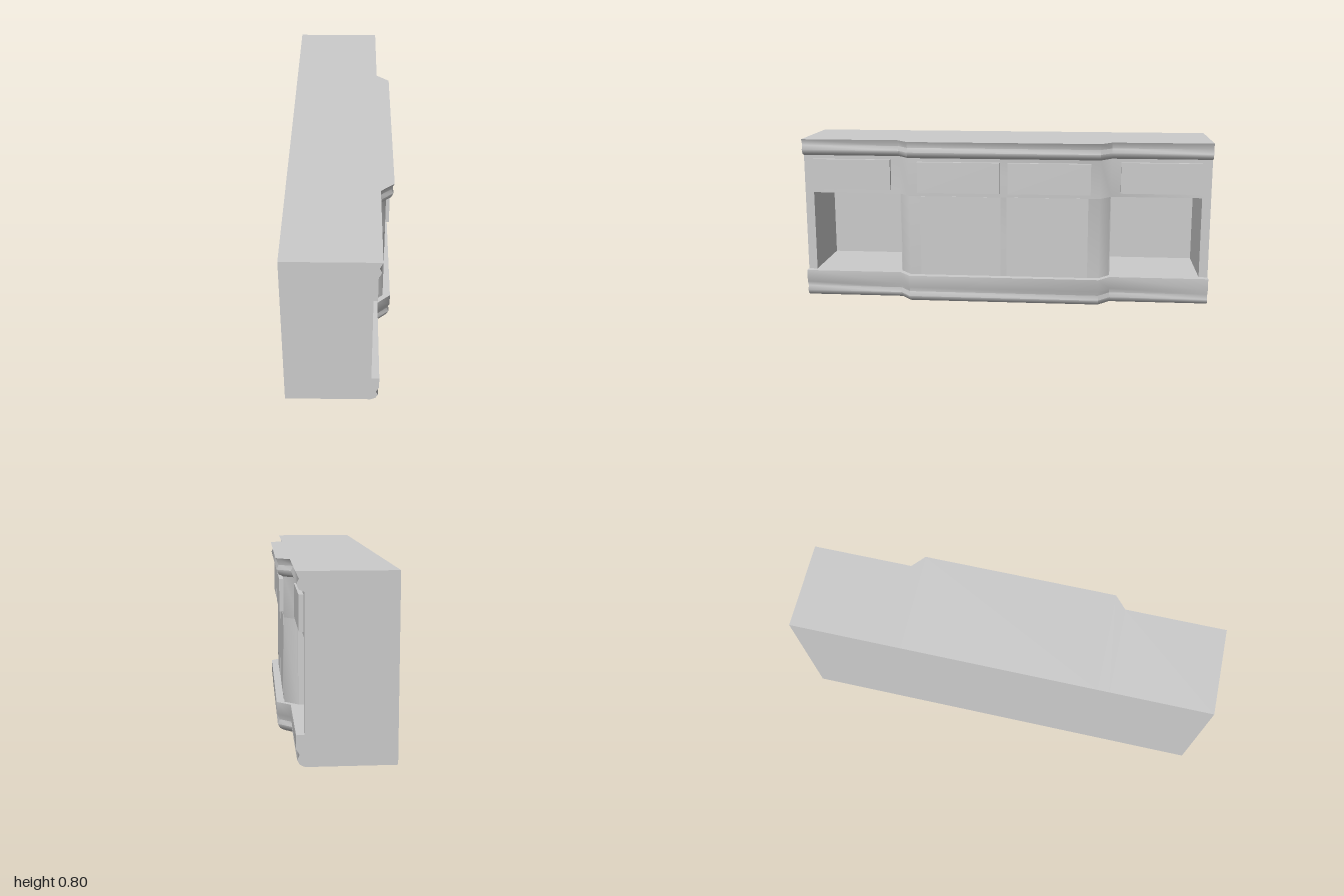
import * as THREE from 'three';
import { toCreasedNormals } from 'three/addons/utils/BufferGeometryUtils.js';

const material = new THREE.MeshStandardMaterial({ color: 0xcccccc });
const STEP = 0.062; // how far the centre bay stands forward of the wings
const BACK = -0.24;

export function createModel() {
  const group = new THREE.Group();
  group.name = 'sideboard';

  const add = (name, geometry) => {
    const mesh = new THREE.Mesh(geometry, material);
    mesh.name = name;
    group.add(mesh);
  };
  // Box given by its extents
  const box = (name, x0, x1, y0, y1, z0, z1) => {
    const g = new THREE.BoxGeometry(x1 - x0, y1 - y0, z1 - z0);
    g.translate((x0 + x1) / 2, (y0 + y1) / 2, (z0 + z1) / 2);
    add(name, g);
  };
  // Half plan (x, z) mirrored in z and raised from y0 to y1
  const plan = (name, half, y0, y1) => {
    const mirrored = half.map(([x, z]) => [x, -z]).reverse();
    const shape = new THREE.Shape([...half, ...mirrored].map(([x, z]) => new THREE.Vector2(x, z)));
    const g = new THREE.ExtrudeGeometry(shape, { depth: y1 - y0, bevelEnabled: false });
    g.rotateX(-Math.PI / 2).translate(0, y0, 0);
    add(name, toCreasedNormals(g, 1.0));
  };
  // Counter-clockwise (x, y) profile run along z, stepping back at the wings
  const moulding = (name, front) => {
    const [first, last] = [front[0], front[front.length - 1]];
    const ring = [[BACK, first[1]], ...front, [BACK, last[1]]];
    const stations = [[-1, STEP], [-0.52, STEP], [-0.465, 0], [0.465, 0], [0.52, STEP], [1, STEP]];
    const n = ring.length;
    const positions = [];
    const index = [];
    for (const [z, back] of stations) {
      for (const [x, y] of ring) positions.push(x === BACK ? x : x - back, y, z);
    }
    for (let s = 0; s < stations.length - 1; s++) {
      for (let i = 0; i < n; i++) {
        const a = s * n + i, b = s * n + (i + 1) % n;
        index.push(a, b, b + n, a, b + n, a + n);
      }
    }
    const top = (stations.length - 1) * n;
    const contour = ring.map(([x, y]) => new THREE.Vector2(x, y));
    for (const [a, b, c] of THREE.ShapeUtils.triangulateShape(contour, [])) {
      index.push(top + a, top + b, top + c, c, b, a);
    }
    const g = new THREE.BufferGeometry();
    g.setAttribute('position', new THREE.Float32BufferAttribute(positions, 3));
    g.setIndex(index);
    add(name, toCreasedNormals(g, 1.0));
  };

  // Base and top mouldings
  moulding('plinth', [
    [0.204, 0], [0.225, 0.01], [0.236, 0.03], [0.226, 0.052], [0.24, 0.077], [0.24, 0.135],
  ]);
  moulding('cornice', [
    [0.204, 0.717], [0.227, 0.727], [0.236, 0.748], [0.226, 0.77], [0.24, 0.8],
  ]);

  // Carcass: drawer rail above, centre bay, back and end posts around the open niches
  plan('drawerRail', [[BACK, 1], [0.143, 1], [0.143, 0.52], [0.204, 0.465]], 0.53, 0.72);
  plan('centreBay', [[BACK, 0.52], [0.143, 0.52], [0.145, 0.516], [0.204, 0.465]], 0.13, 0.53);
  box('backPanel', BACK, -0.22, 0.13, 0.53, -1, 1);

  for (const s of [1, -1]) {
    const side = s > 0 ? 'left' : 'right';
    const span = (a, b) => (s > 0 ? [a, b] : [-b, -a]);
    box(side + 'EndPanel', BACK, 0.143, 0.13, 0.53, ...span(0.957, 1));
    box(side + 'WingDrawer', 0.13, 0.163, 0.55, 0.7, ...span(0.565, 0.952));
    box(side + 'CentreDrawer', 0.19, 0.223, 0.55, 0.7, ...span(0.02, 0.42));
    box(side + 'Door', 0.19, 0.2055, 0.135, 0.53, ...span(0.015, 0.41));
  }
  return group;
}
